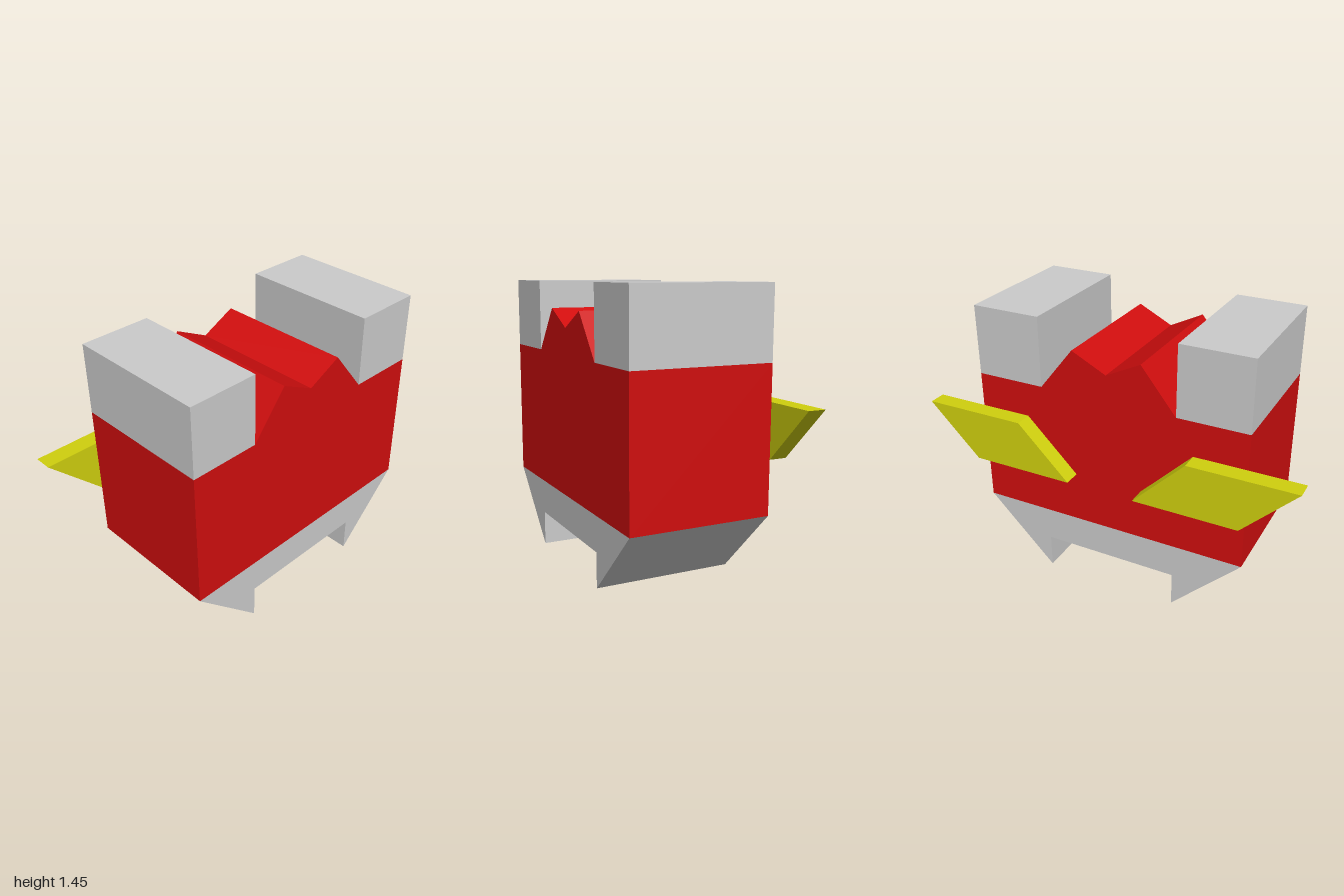
import * as THREE from 'three';

const U = 1 / 11; // one modelling unit

const material = (color) => new THREE.MeshStandardMaterial({ color, flatShading: true });

// Extrude a front outline (in units) between two depths
function slab(name, points, back, front, mat) {
  const shape = new THREE.Shape(points.map(([x, y]) => new THREE.Vector2(x * U, y * U)));
  const geometry = new THREE.ExtrudeGeometry(shape, { depth: (front - back) * U, bevelEnabled: false });
  geometry.translate(0, 0, back * U);
  const mesh = new THREE.Mesh(geometry, mat);
  mesh.name = name;
  return mesh;
}

export function createModel() {
  const model = new THREE.Group();
  model.name = 'model';
  const grey = material(0xcccccc);
  const red = material(0xd00e0e);
  const yellow = material(0xd0d00e);
  const back = -3.5, front = 4.5;

  // Body with the twin-peaked ridge between the shoulders
  model.add(slab('body', [
    [-8, 4], [8, 4], [8, 12], [4, 12], [2, 14.5], [0, 13.5], [-2, 14.5], [-4, 12], [-8, 12],
  ], back, front, red));

  // Tapered base with two pointed feet
  model.add(slab('base', [
    [-8, 4], [-4, 0], [-4, 2], [4, 2], [4, 0], [8, 4],
  ], back, front, grey));

  for (const [side, s] of [['left', 1], ['right', -1]]) {
    // Shoulder block
    const block = new THREE.Mesh(new THREE.BoxGeometry(4 * U, 4 * U, (front - back) * U), grey);
    block.position.set(s * 6 * U, 14 * U, (front + back) / 2 * U);
    block.name = side + 'ShoulderBlock';
    model.add(block);

    // Slanted wing on the back
    const outline = [[2, 7], [8, 7], [11, 10], [5, 10]].map(([x, y]) => [s * x, y]);
    model.add(slab(side + 'Wing', outline, back - 1, back, yellow));
  }
  return model;
}
